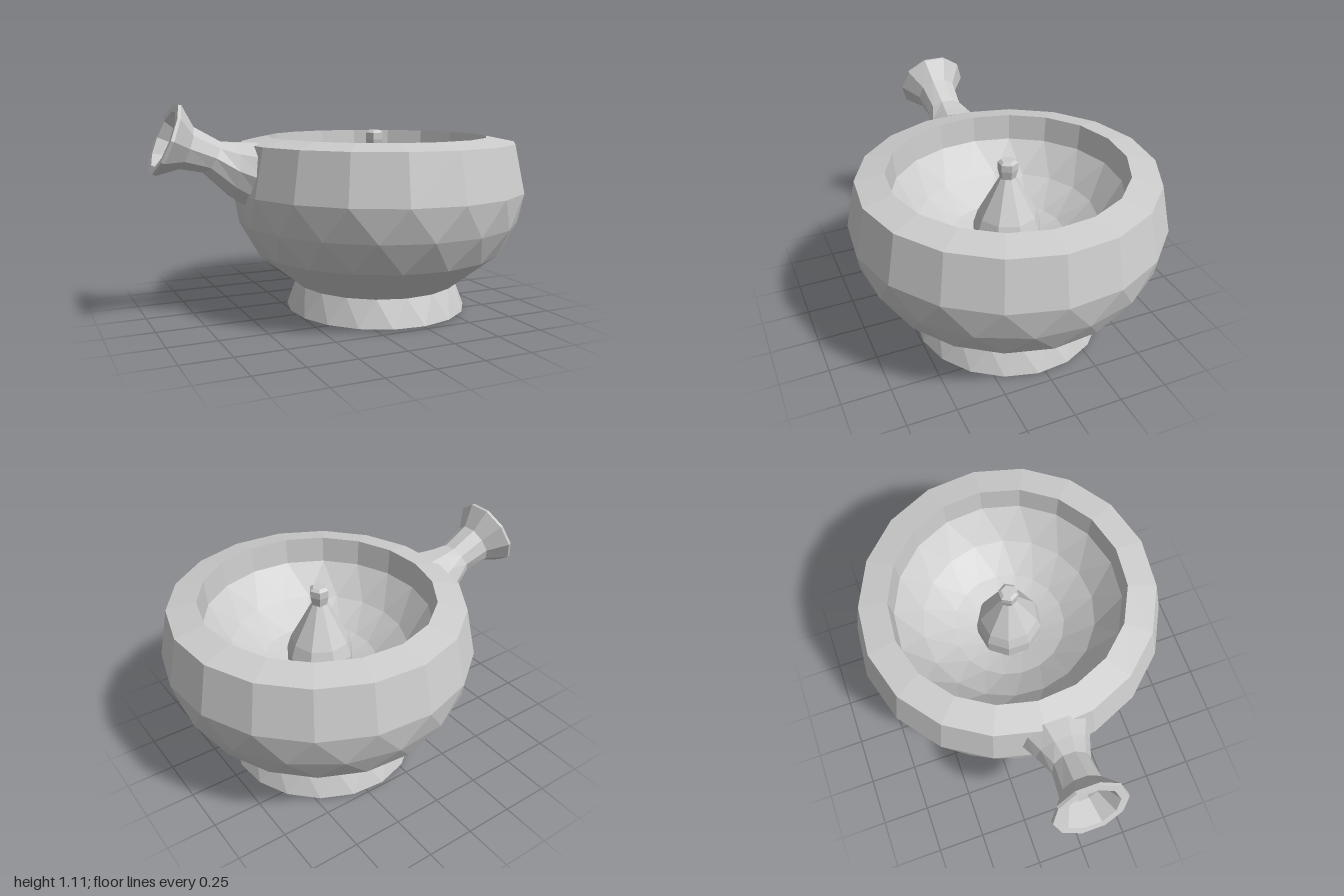
import * as THREE from 'three';

const stone = new THREE.MeshStandardMaterial({ color: 0xcccccc, flatShading: true });
stone.name = 'grey stone';

// Skin a list of rings (arrays of Vector3, equal length) with flat facets.
function loft(name, rings) {
  const pos = [];
  const tri = (a, b, c) => {
    const area = b.clone().sub(a).cross(c.clone().sub(a)).length();
    if (area > 1e-7) for (const p of [a, b, c]) pos.push(p.x, p.y, p.z);
  };
  for (let i = 0; i + 1 < rings.length; i++) {
    const a = rings[i], b = rings[i + 1], n = a.length;
    for (let j = 0; j < n; j++) {
      const k = (j + 1) % n;
      tri(a[j], b[j], a[k]);
      tri(a[k], b[j], b[k]);
    }
  }
  const geo = new THREE.BufferGeometry();
  geo.setAttribute('position', new THREE.Float32BufferAttribute(pos, 3));
  geo.computeVertexNormals();
  const mesh = new THREE.Mesh(geo, stone);
  mesh.name = name;
  return mesh;
}

// Upright rings from [radius, height, twist in steps]; half a step staggers the facets.
// Rings are slightly flattened on the spout side.
function turned(name, sides, profile) {
  let twist = 0;
  return loft(name, profile.map(([r, y, step = 0]) => {
    twist += step;
    return Array.from({ length: sides }, (_, j) => {
      const t = ((j + twist) / sides) * Math.PI * 2;
      const flat = r * (1 - 0.05 * Math.max(0, -Math.cos(t)) ** 2);
      return new THREE.Vector3(flat * Math.cos(t), y, flat * Math.sin(t));
    });
  }));
}

// Tilted rings from [x, y, radius, tilt, depth scale], running outward along -x.
function spout(name, sides, sections) {
  return loft(name, sections.map(([x, y, r, tilt, depth = 1]) =>
    Array.from({ length: sides }, (_, j) => {
      const t = ((j + 0.5) / sides) * Math.PI * 2;
      const up = r * Math.cos(t);
      return new THREE.Vector3(
        x + up * Math.sin(tilt), y + up * Math.cos(tilt), r * depth * Math.sin(t));
    })));
}

export function createModel() {
  const model = new THREE.Group();
  model.name = 'spoutedBowl';

  const body = new THREE.Group();
  body.name = 'body';
  body.position.x = 0.2;
  model.add(body);

  // Flared foot with a closed underside
  body.add(turned('foot', 18, [[0, 0, 0.25], [0.497, 0.012], [0.445, 0.155, 0.5]]));

  // Faceted outer wall, sloping rim and hollow inside
  body.add(turned('bowl', 18, [
    [0.445, 0.15, 0.75], [0.675, 0.33, 0.5], [0.765, 0.49, 0.5], [0.803, 0.66, 0.5],
    [0.75, 0.908], [0.6, 0.938],
    [0.588, 0.8], [0.46, 0.645, 0.5], [0.3, 0.54, 0.5], [0.17, 0.5, 0.5], [0, 0.49],
  ]));

  // Central bell-shaped cone with a small knob
  body.add(turned('cone', 9, [
    [0.175, 0.48], [0.175, 0.6], [0.153, 0.67], [0.095, 0.775], [0.04, 0.875],
  ]));
  body.add(turned('knob', 6, [
    [0.038, 0.86], [0.052, 0.92], [0.052, 0.955], [0.035, 0.968], [0, 0.968],
  ]));

  // Side spout opening into a hollow trumpet mouth
  model.add(spout('spout', 10, [
    [-0.48, 0.745, 0.185, 0, 1.05], [-0.59, 0.79, 0.14, 0.12],
    [-0.695, 0.855, 0.09, 0.52, 1.1], [-0.825, 0.905, 0.112, 0.36],
    [-0.915, 0.945, 0.187, 0.38], [-0.93, 0.95, 0.184, 0.39],
    [-0.928, 0.949, 0.145, 0.39], [-0.83, 0.908, 0.085, 0.39],
    [-0.71, 0.862, 0.06, 0.45], [-0.7, 0.858, 0, 0.45],
  ]));

  // Centre the whole on the ground
  const box = new THREE.Box3().setFromObject(model);
  const mid = box.getCenter(new THREE.Vector3());
  for (const part of model.children) {
    part.position.x -= mid.x;
    part.position.z -= mid.z;
  }
  return model;
}
